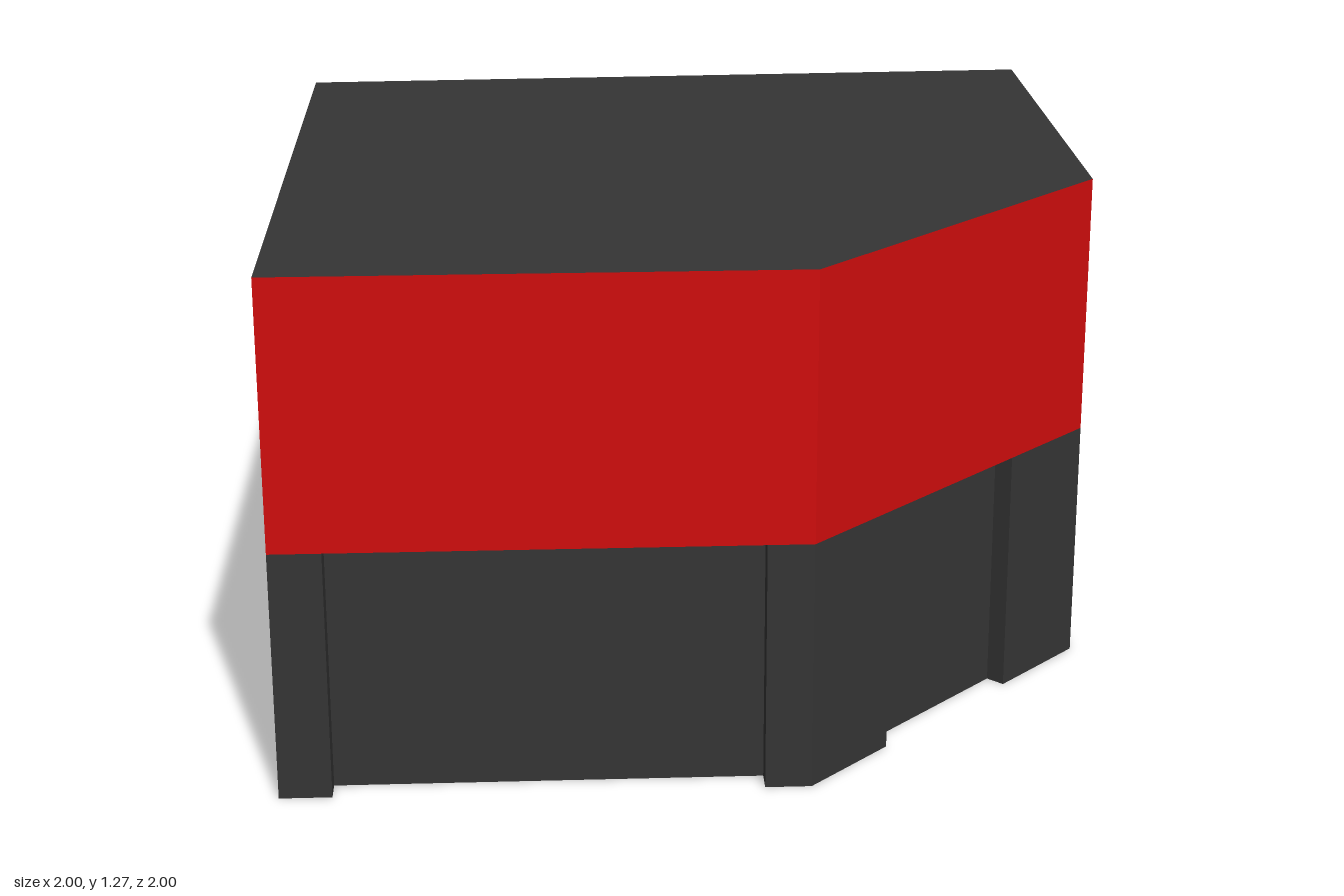
import * as THREE from 'three';

const H = 1.27;   // roof height
const BAND = 0.615; // lower edge of the red band

const dark = new THREE.MeshStandardMaterial({ color: 0x353535, side: THREE.DoubleSide });
dark.name = 'charcoal';
const red = new THREE.MeshStandardMaterial({ color: 0xd00d0d, side: THREE.DoubleSide });
red.name = 'red';

// Flat four-cornered sheet, corners counter-clockwise seen from its front
function sheet(name, material, a, b, c, d) {
  const geometry = new THREE.BufferGeometry();
  geometry.setAttribute('position', new THREE.Float32BufferAttribute([a, b, c, a, c, d].flat(), 3));
  geometry.computeVertexNormals();
  const mesh = new THREE.Mesh(geometry, material);
  mesh.name = name;
  return mesh;
}

// Upright sheet over the plan line p to q, facing right of that line's direction
function upright(name, material, p, q, y0, y1) {
  return sheet(name, material, [p[0], y0, p[1]], [q[0], y0, q[1]], [q[0], y1, q[1]], [p[0], y1, p[1]]);
}

// Level sheet over four plan points
function level(name, p, q, r, s, y) {
  return sheet(name, dark, ...[p, q, r, s].map(([x, z]) => [x, y, z]));
}

// One facade: red band above, two pillars and a recessed panel below
function facade(name, p, q, start, end, depth) {
  const group = new THREE.Group();
  group.name = name;
  const dx = q[0] - p[0], dz = q[1] - p[1];
  const length = Math.hypot(dx, dz);
  const inward = [dz / length * depth, -dx / length * depth];
  const at = (t) => [p[0] + dx * t, p[1] + dz * t];
  const inside = ([x, z]) => [x + inward[0], z + inward[1]];
  const a = at(start), b = at(end);
  const ai = inside(a), bi = inside(b);

  group.add(
    upright('redBand', red, p, q, BAND, H),
    upright('firstPillar', dark, p, a, 0, BAND),
    upright('firstReturn', dark, a, ai, 0, BAND),
    upright('recessedPanel', dark, ai, bi, 0, BAND),
    upright('secondReturn', dark, bi, b, 0, BAND),
    upright('secondPillar', dark, b, q, 0, BAND),
    level('recessSoffit', a, ai, bi, b, BAND),
    level('firstPillarBase', p, inside(p), ai, a, 0),
    level('secondPillarBase', b, bi, inside(q), q, 0)
  );
  return group;
}

export function createModel() {
  const model = new THREE.Group();
  model.name = 'cornerBuilding';

  // Plan corners as [x, z]
  const frontRight = [-1, 1], cornerA = [0.25, 1], cornerB = [1, 0.25];
  const backLeft = [1, -1], backRight = [-1, -0.93];

  // Street facades
  model.add(facade('frontFacade', frontRight, cornerA, 0.1, 0.912, 0.06));
  model.add(facade('cornerFacade', cornerA, cornerB, 0.267, 0.72, 0.05));
  model.add(facade('sideFacade', cornerB, backLeft, 0.096, 0.912, 0.06));

  // Plain party wall; the back stays open
  model.add(upright('plainSideWall', dark, backRight, frontRight, 0, H));

  // Flat roof
  const outline = [frontRight, cornerA, cornerB, backLeft, backRight];
  const shape = new THREE.Shape(outline.map(([x, z]) => new THREE.Vector2(x, -z)));
  const roof = new THREE.Mesh(new THREE.ShapeGeometry(shape).rotateX(-Math.PI / 2), dark);
  roof.name = 'roof';
  roof.position.y = H;
  model.add(roof);

  return model;
}
